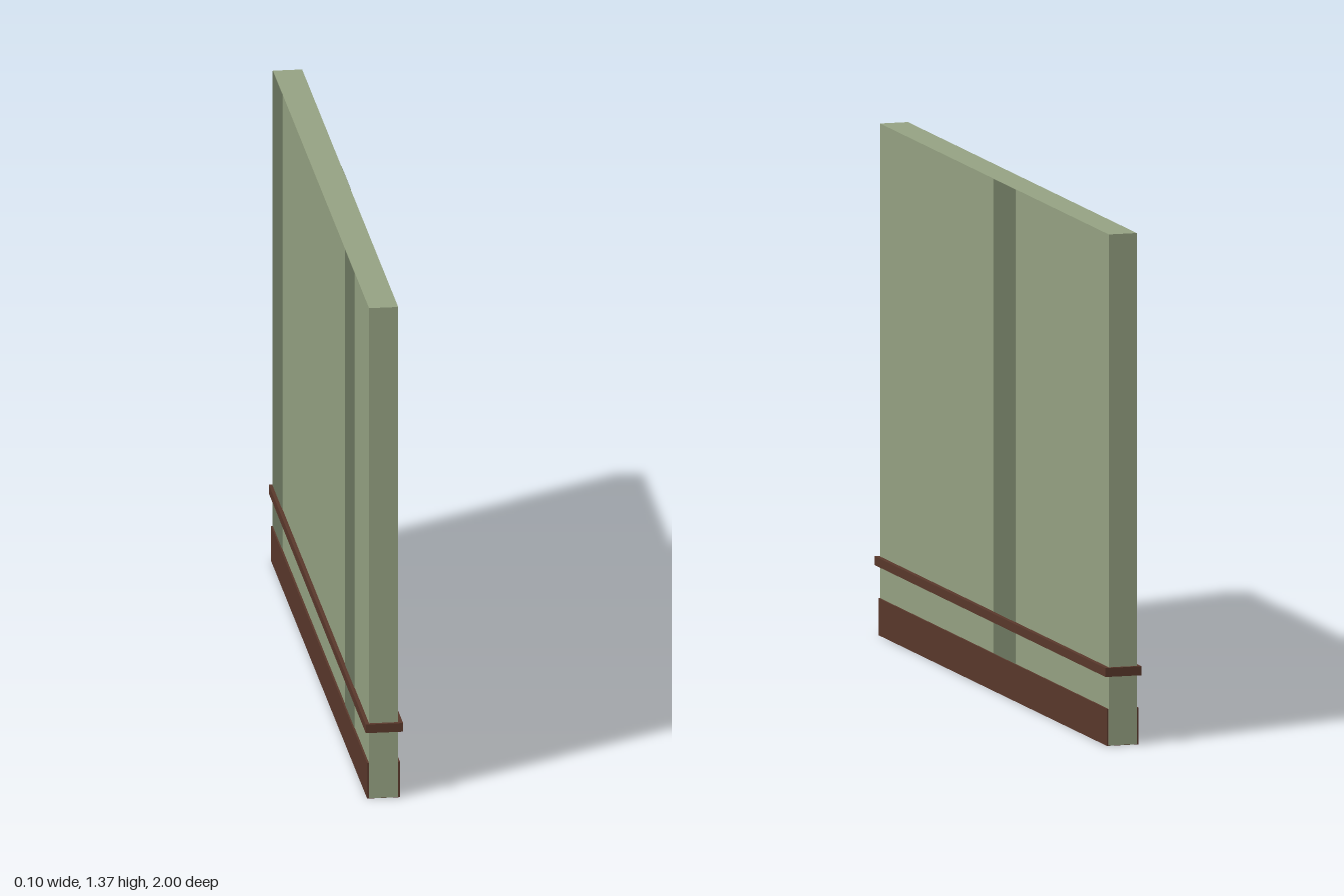
import * as THREE from 'three';

export function createModel() {
  const model = new THREE.Group();
  model.name = 'wallPanel';

  const material = (name, color) => {
    const m = new THREE.MeshStandardMaterial({ color });
    m.name = name;
    return m;
  };
  const sage = material('sageGreen', 0x98a585);
  const darkSage = material('darkSageGreen', 0x6f7a62);
  const brown = material('darkBrown', 0x5b392c);

  // Box given by its lower and upper corners
  const box = (name, mat, [x0, y0, z0], [x1, y1, z1]) => {
    const mesh = new THREE.Mesh(new THREE.BoxGeometry(x1 - x0, y1 - y0, z1 - z0), mat);
    mesh.position.set((x0 + x1) / 2, (y0 + y1) / 2, (z0 + z1) / 2);
    mesh.name = name;
    model.add(mesh);
  };

  const left = 0.038, right = -0.04, top = 1.374, end = 0.99;

  // Wall slab, its ends flush over the skirting
  box('wall', sage, [right, 0.001, -end], [left, top, end]);

  // Skirting board along the foot and underside
  box('skirting', brown, [-0.045, 0, -end + 0.001], [0.043, 0.099, end - 0.001]);

  // Projecting rail around the wall
  box('rail', brown, [-0.05, 0.187, -1], [0.05, 0.211, 1]);

  // Painted vertical stripes: one on the left face, two on the right face
  const stripe = (x, z0, z1) =>
    box('stripe', darkSage, [x - 0.001, 0.09, z0], [x + 0.001, top - 0.0005, z1]);
  stripe(left, -0.182, 0.005);
  stripe(right, -end + 0.0005, -0.8);
  stripe(right, 0.5, 0.69);

  return model;
}
